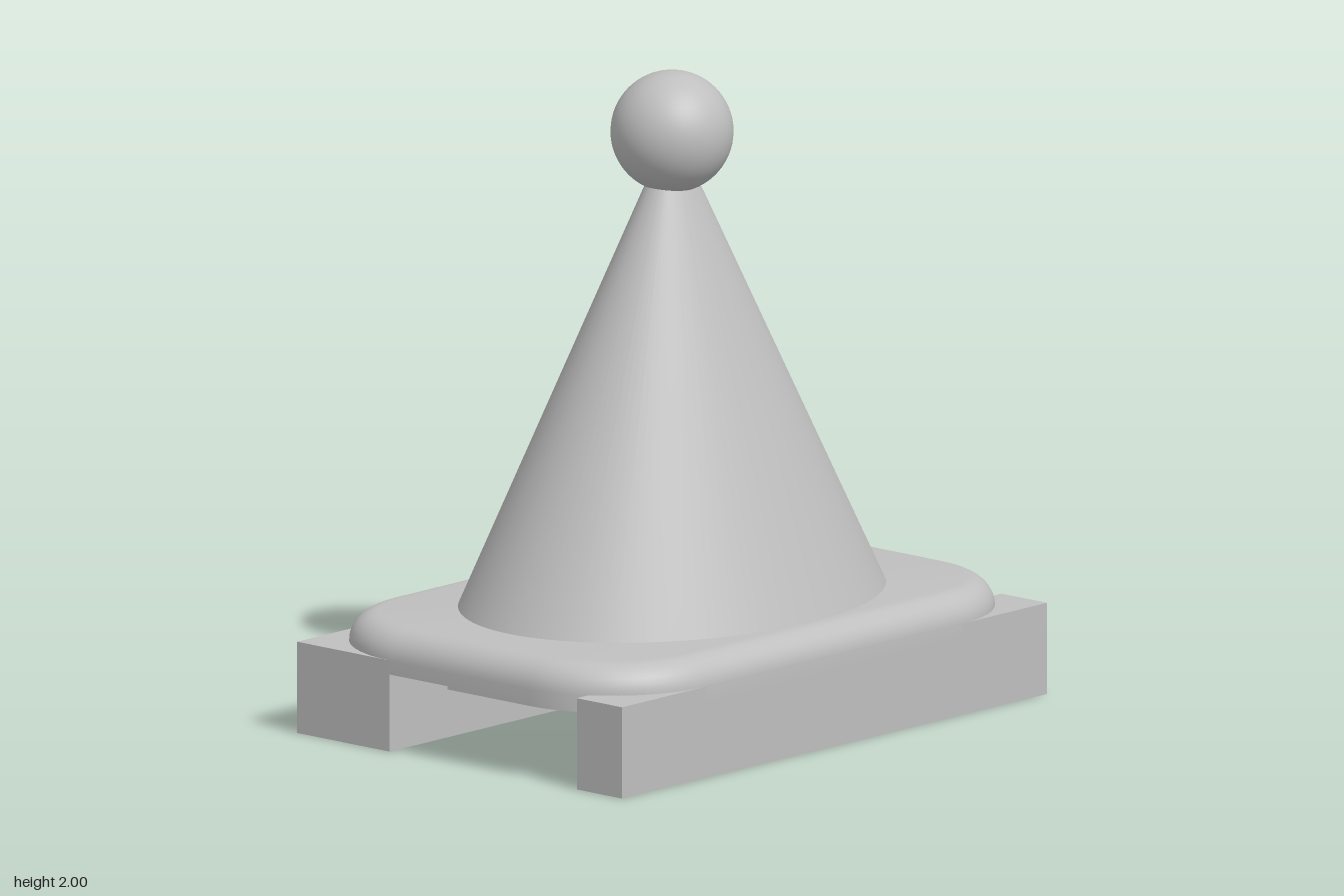
import * as THREE from 'three';
import { toCreasedNormals } from 'three/addons/utils/BufferGeometryUtils.js';

const HALF_X = 0.96, HALF_Z = 0.665, CORNER = 0.38, TOP = 0.372, FILLET = 0.09;

// Stacks rounded-rectangle rings; each level is [inset, y]. Both ends are closed to a centre point.
function roundedSlab(levels, zMin = -HALF_Z, zMax = HALF_Z) {
  const steps = 12, ring = [];
  const signs = [[1, 1], [-1, 1], [-1, -1], [1, -1]];
  signs.forEach(([sx, sz], q) => {
    for (let i = 0; i <= steps; i++) {
      const t = (q + i / steps) * Math.PI / 2;
      ring.push([sx * (HALF_X - CORNER), sz * (HALF_Z - CORNER), Math.cos(t), Math.sin(t)]);
    }
  });
  const n = ring.length, pos = [], idx = [];
  const cap = (y) => ring.forEach(() => pos.push(0, y, 0));
  cap(levels[0][1]);
  for (const [inset, y] of levels) {
    for (const [cx, cz, c, s] of ring) {
      const z = cz + (CORNER - inset) * s;
      pos.push(cx + (CORNER - inset) * c, y, Math.min(zMax, Math.max(zMin, z)));
    }
  }
  cap(levels[levels.length - 1][1]);
  const rows = levels.length + 2;
  for (let r = 0; r < rows - 1; r++) {
    for (let i = 0; i < n; i++) {
      const a = r * n + i, b = r * n + (i + 1) % n, c = a + n, d = b + n;
      if (r > 0) idx.push(a, c, b);
      if (r < rows - 2) idx.push(b, c, d);
    }
  }
  const geo = new THREE.BufferGeometry();
  geo.setAttribute('position', new THREE.Float32BufferAttribute(pos, 3));
  geo.setIndex(idx);
  return toCreasedNormals(geo, 0.6);
}

export function createModel() {
  const group = new THREE.Group();
  const grey = new THREE.MeshStandardMaterial({ color: 0xbfbfbf });
  grey.name = 'light grey';

  const add = (name, geometry, x = 0, y = 0, z = 0) => {
    const mesh = new THREE.Mesh(geometry, grey);
    mesh.name = name;
    mesh.position.set(x, y, z);
    group.add(mesh);
    return mesh;
  };

  // Base plate: straight wall, then a quarter-round top edge
  const levels = [[0, 0.24]];
  for (let i = 0; i <= 8; i++) {
    const t = (i / 8) * Math.PI / 2;
    levels.push([FILLET * (1 - Math.cos(t)), TOP - FILLET * (1 - Math.sin(t))]);
  }
  add('basePlate', roundedSlab(levels));

  // Shallow step under the front part of the plate
  add('undersideStep', roundedSlab([[0, 0.23], [0, 0.24]], -0.05, 0.5));

  // Support bars, the rear one deeper
  const bar = (name, z0, z1) =>
    add(name, new THREE.BoxGeometry(2 * HALF_X, 0.284, z1 - z0), 0, 0.142, (z0 + z1) / 2);
  bar('frontBar', 0.48, HALF_Z);
  bar('backBar', -HALF_Z, -0.287);

  // Elliptical cone whose tip ends inside the ball
  const cone = new THREE.CylinderGeometry(0.01, 1, 1.45, 96, 1, true);
  cone.scale(0.735, 1, 0.57);
  cone.computeVertexNormals();
  add('cone', toCreasedNormals(cone, 0.6), 0, TOP + 0.725, 0);

  // Ball on top
  add('ball', new THREE.SphereGeometry(0.187, 48, 32), 0, 1.813, 0);

  return group;
}
